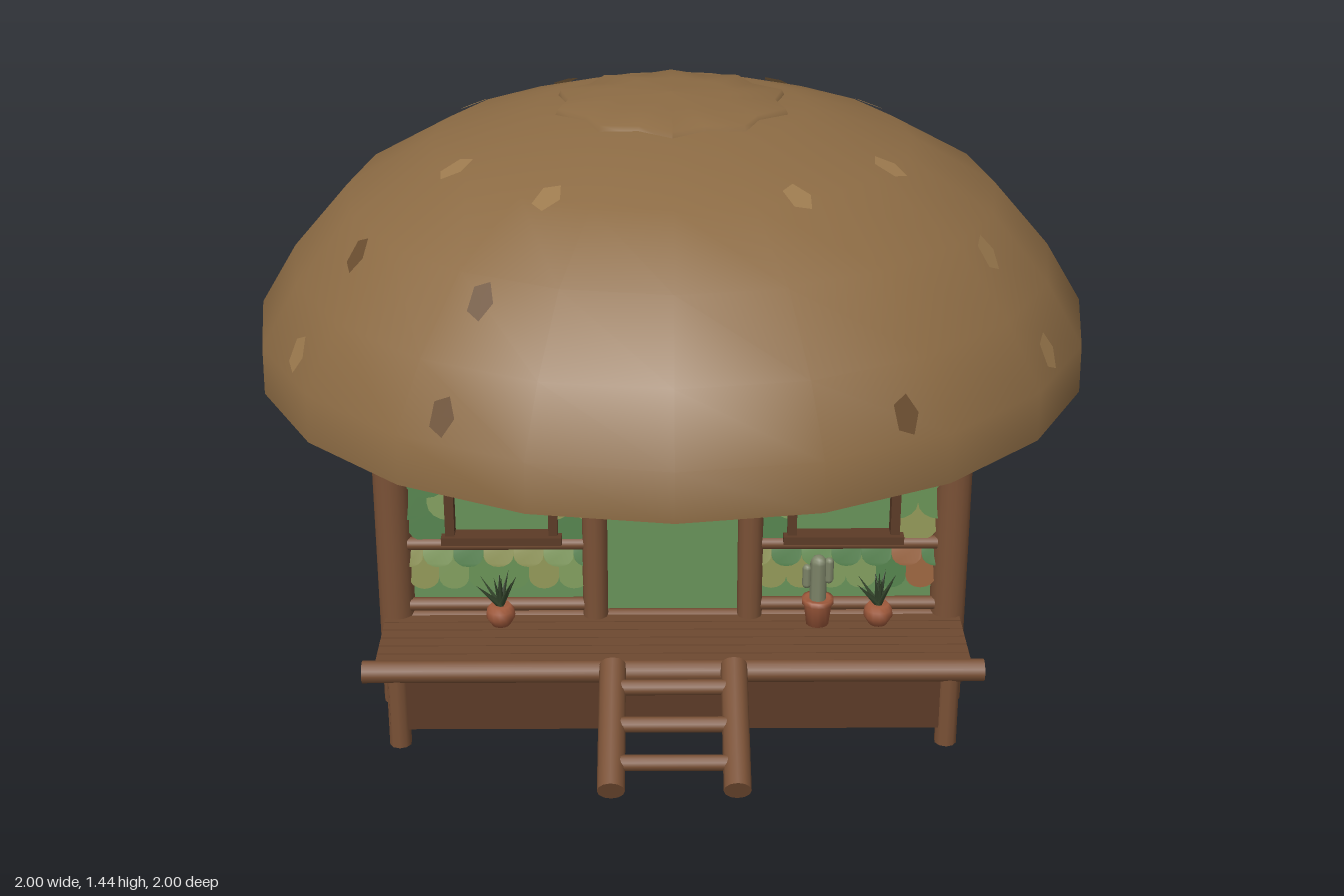
import * as THREE from 'three';
import { mergeGeometries } from 'three/addons/utils/BufferGeometryUtils.js';

const mat = (color, side = THREE.FrontSide) => new THREE.MeshStandardMaterial({ color, side });
const WOOD = mat(0x7a5136), DARK = mat(0x5c3b27), PLANK = mat(0x6e4930), PANE = mat(0x68935a);
const THATCH = mat(0x8c6b44), UNDER = mat(0x4a3524), CLAY = mat(0xa05a3c), LEAF = mat(0x34452c, THREE.DoubleSide);
const CACTUS = mat(0x7d8468);
const CHIPS = [mat(0x6b4e30, THREE.DoubleSide), mat(0x9c7a4e, THREE.DoubleSide)];
const SCALES = [0x4f7d48, 0x628b4f, 0x7b9658, 0x8b9152, 0x96603a].map((c) => mat(c, THREE.DoubleSide));

let seed = 7;
const rnd = () => ((seed = (seed * 16807) % 2147483647) / 2147483647);

function add(parent, name, geo, material, x = 0, y = 0, z = 0) {
  const m = new THREE.Mesh(geo, material);
  m.name = name;
  m.position.set(x, y, z);
  parent.add(m);
  return m;
}

// round log between two points
function log(parent, name, a, b, r, material = WOOD, sides = 12) {
  const p = new THREE.Vector3(...a), q = new THREE.Vector3(...b), d = q.clone().sub(p);
  const m = add(parent, name, new THREE.CylinderGeometry(r, r, d.length(), sides), material);
  m.position.copy(p).add(q).multiplyScalar(0.5);
  m.quaternion.setFromUnitVectors(new THREE.Vector3(0, 1, 0), d.normalize());
  return m;
}

// one rounded shingle, tilted out at its lower edge and trimmed to its panel
function shingle(u, y, w, top, u0, u1) {
  const s = new THREE.Shape(), h = w / 2;
  s.moveTo(h, 0.095).lineTo(-h, 0.095).lineTo(-h, h * 0.8);
  for (let i = 1; i <= 8; i++) {
    const t = Math.PI + (i / 8) * Math.PI;
    s.lineTo(Math.cos(t) * h, h * 0.8 + Math.sin(t) * h * 0.8);
  }
  const g = new THREE.ShapeGeometry(s), p = g.attributes.position;
  for (let i = 0; i < p.count; i++) {
    const py = p.getY(i);
    p.setXYZ(i, THREE.MathUtils.clamp(p.getX(i) + u, u0, u1), Math.min(py + y, top), 0.02 - py * 0.15);
  }
  g.computeVertexNormals();
  return g;
}

// wall in local space: u along x, outside is +z
function wall(name, len, windows, door, pos, rotY) {
  const g = new THREE.Group(), half = len / 2 - 0.035;
  g.name = name;
  g.position.set(...pos);
  g.rotation.y = rotY;
  add(g, 'wallPanel', new THREE.BoxGeometry(len, 0.62, 0.03), PANE, 0, 0.52, -0.02);

  const bins = SCALES.map(() => []);
  const panel = (u0, u1, y0, top) => {
    const n = Math.max(1, Math.round((u1 - u0) / 0.075)), w = (u1 - u0) / n;
    const tones = Array.from({ length: n + 1 }, () => Math.floor(rnd() * 5));
    for (let row = 0, y = y0; y < top - 0.01; row++, y += 0.058) {
      const odd = row % 2;
      for (let c = 0; c < n + odd; c++) {
        const tone = rnd() < 0.55 ? tones[c] : Math.floor(rnd() * 4);
        bins[tone].push(shingle(u0 + (c + (odd ? 0 : 0.5)) * w, y, w, top, u0, u1));
      }
    }
  };
  // shingled panels between the openings
  const gaps = windows.map((c) => [c - 0.125, c + 0.125]);
  if (door) gaps.push([-0.2, 0.2]);
  gaps.sort((a, b) => a[0] - b[0]);
  let start = -half;
  for (const [a, b] of [...gaps, [half, half]]) {
    panel(start, a, 0.435, 0.82);
    start = b;
  }
  const spans = door ? [[-half, -0.2], [0.2, half]] : [[-half, half]];
  for (const [a, b] of spans) {
    panel(a, b, 0.31, 0.42);
    log(g, 'middleRail', [a, 0.428, 0.012], [b, 0.428, 0.012], 0.016);
    log(g, 'lowerRail', [a, 0.265, 0.012], [b, 0.265, 0.012], 0.016);
  }
  if (door) {
    panel(-0.16, 0.16, 0.735, 0.82);
    for (const s of [-1, 1]) log(g, 'doorPost', [s * 0.185, 0.22, 0.015], [s * 0.185, 0.83, 0.015], 0.03);
    log(g, 'doorLintel', [-0.16, 0.722, 0.015], [0.16, 0.722, 0.015], 0.018);
  }
  bins.forEach((b, i) => b.length && add(g, 'wallShingles', mergeGeometries(b), SCALES[i]));

  // window frames
  for (const c of windows) {
    for (const s of [-1, 1]) add(g, 'windowJamb', new THREE.BoxGeometry(0.022, 0.36, 0.04), DARK, c + s * 0.122, 0.615, 0.012);
    add(g, 'windowHead', new THREE.BoxGeometry(0.266, 0.022, 0.04), DARK, c, 0.785, 0.012);
    add(g, 'windowSill', new THREE.BoxGeometry(0.285, 0.02, 0.055), DARK, c, 0.446, 0.016);
  }
  log(g, 'topBeam', [-len / 2, 0.82, 0], [len / 2, 0.82, 0], 0.022);
  log(g, 'baseLog', [-len / 2, 0.225, 0.005], [len / 2, 0.225, 0.005], 0.02);
  return g;
}

function pottedPlant(x, cactus) {
  const g = new THREE.Group();
  g.name = 'pottedPlant';
  g.position.set(x, 0.24, 0.41);
  const pts = cactus ? [[0, 0], [0.027, 0], [0.034, 0.055], [0.038, 0.055], [0.038, 0.068], [0.03, 0.068], [0, 0.062]]
    : [[0, 0], [0.022, 0], [0.035, 0.022], [0.033, 0.04], [0.024, 0.052], [0, 0.048]];
  add(g, 'pot', new THREE.LatheGeometry(pts.map((p) => new THREE.Vector2(...p)), 14), CLAY);
  if (cactus) {
    const stem = [[0, 0.11, 0, 0.02, 0.1], [-0.027, 0.125, 0, 0.011, 0.04], [0.025, 0.14, 0, 0.011, 0.045]];
    for (const [cx, cy, cz, r, h] of stem) add(g, 'cactusStem', new THREE.CapsuleGeometry(r, h, 4, 8), CACTUS, cx, cy, cz);
  } else {
    for (let i = 0; i < 9; i++) {
      const leaf = add(g, 'leaf', new THREE.ConeGeometry(0.009, 0.085, 4).translate(0, 0.042, 0), LEAF, 0, 0.05, 0);
      leaf.rotation.set(0, i * 2.4, i ? 0.25 + (i % 3) * 0.25 : 0, 'YXZ');
    }
  }
  return g;
}

// dome profile, radius and height
const DOME = [[1, 0.795], [0.998, 0.91], [0.91, 1.055], [0.775, 1.21], [0.57, 1.325], [0.32, 1.4], [0, 1.425]];

function roof() {
  const g = new THREE.Group();
  g.name = 'roof';
  const v = (a) => a.map((p) => new THREE.Vector2(...p));
  add(g, 'thatchDome', new THREE.LatheGeometry(v(DOME), 20), THATCH);
  const inner = DOME.map(([r, y], i) => [r * 0.95, i ? y - 0.04 : y]).reverse();
  add(g, 'thatchUnderside', new THREE.LatheGeometry(v([...inner, [1, 0.795]]), 20), UNDER);

  // crown with a ragged edge
  const cap = new THREE.LatheGeometry(v([[0.28, 1.395], [0.27, 1.416], [0.14, 1.43], [0, 1.436]]), 20);
  const p = cap.attributes.position;
  for (let i = 0; i < p.count; i++) {
    const k = Math.floor(i / 4) % 2 && i % 4 < 2 ? 0.9 : 1.03;
    p.setXYZ(i, p.getX(i) * k, p.getY(i), p.getZ(i) * k);
  }
  cap.computeVertexNormals();
  add(g, 'thatchCrown', cap, THATCH);

  // loose tufts lying on the dome
  const tufts = [[0.56, [29, 61, 119, 151, 209, 241, 299, 331]], [0.81, [30, 150, 240, 300, 120]],
    [0.965, [30, 60, 120, 150, 210, 240, 300, 330]]];
  for (const [r, angles] of tufts) angles.forEach((deg, n) => {
    const i = DOME.findIndex((d) => d[0] < r), [r0, y0] = DOME[i - 1], [r1, y1] = DOME[i];
    const y = y0 + ((r - r0) / (r1 - r0)) * (y1 - y0), a = THREE.MathUtils.degToRad(deg);
    const nr = y1 - y0, ny = r0 - r1, l = Math.hypot(nr, ny);
    const dir = new THREE.Vector3((Math.cos(a) * nr) / l, ny / l, (Math.sin(a) * nr) / l);
    const m = add(g, 'thatchTuft', new THREE.CircleGeometry(0.042, 5), CHIPS[r < 0.6 ? 1 : n % 3 ? 0 : 1]);
    m.scale.set(0.75, 1.1, 1);
    m.position.set(Math.cos(a) * r, y, Math.sin(a) * r).addScaledVector(dir, 0.003);
    m.lookAt(m.position.clone().add(dir));
    m.rotateX(0.12);
  });
  return g;
}

export function createModel() {
  const model = new THREE.Group();
  model.name = 'thatchedHut';
  model.add(roof());

  // walls
  const H = Math.PI / 2;
  model.add(wall('frontWall', 1.33, [-0.405, 0.405], true, [0, 0, 0.345], 0));
  model.add(wall('backWall', 1.33, [0], false, [0, 0, -0.72], Math.PI));
  model.add(wall('leftWall', 1.065, [0], false, [0.665, 0, -0.1875], H));
  model.add(wall('rightWall', 1.065, [0], false, [-0.665, 0, -0.1875], -H));

  // corner posts, floor and stilts
  for (const x of [-0.664, 0.664]) for (const z of [0.343, -0.72]) log(model, 'cornerPost', [x, 0, z], [x, 0.845, z], 0.043, WOOD, 16);
  add(model, 'floorBase', new THREE.BoxGeometry(1.32, 0.145, 1.32), DARK, 0, 0.1375, -0.06);
  for (const x of [-0.64, 0, 0.64]) for (const z of [0.345, -0.19, -0.7]) log(model, 'stilt', [x, 0.02, z], [x, 0.1, z], 0.024, WOOD, 10);
  for (const x of [-0.64, 0.64]) log(model, 'deckLeg', [x, 0.02, 0.585], [x, 0.2, 0.585], 0.026, WOOD, 10);

  // porch deck
  for (let i = 0; i < 6; i++) add(model, 'deckPlank', new THREE.BoxGeometry(1.38, 0.028, 0.034), PLANK, 0, 0.224, 0.38 + i * 0.038);
  log(model, 'deckEdgeLog', [-0.72, 0.215, 0.593], [0.72, 0.215, 0.593], 0.026);

  // ladder
  for (const x of [-0.14, 0.14]) log(model, 'ladderRail', [x, 0.235, 0.6], [x, 0.093, 0.905], 0.031);
  for (const t of [0.2, 0.5, 0.8]) {
    const y = 0.24 - t * 0.142, z = 0.6 + t * 0.305;
    log(model, 'ladderRung', [-0.14, y, z], [0.14, y, z], 0.018);
  }

  // potted plants
  model.add(pottedPlant(-0.41, false), pottedPlant(0.345, true), pottedPlant(0.49, false));
  return model;
}
